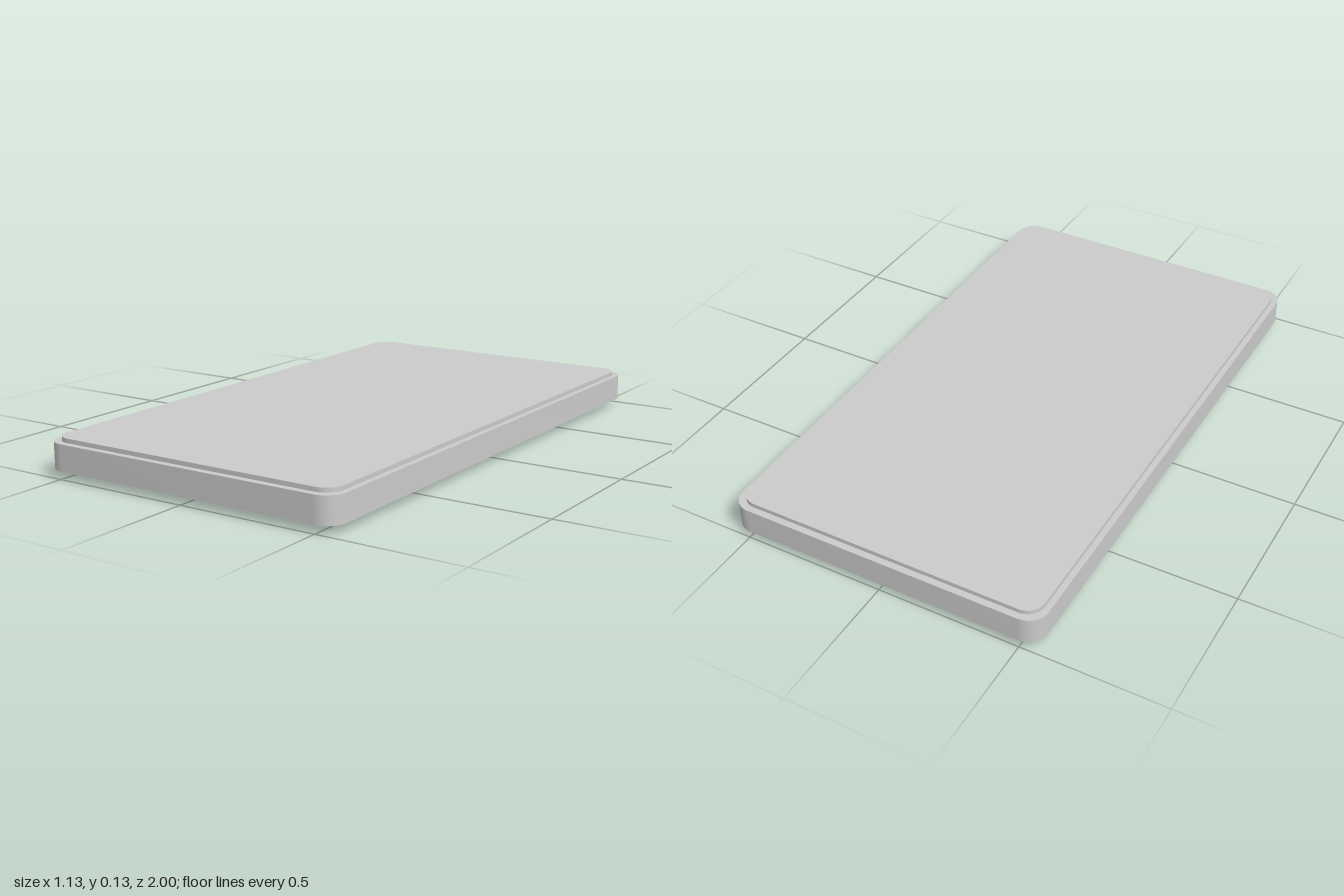
import * as THREE from 'three';
import { toCreasedNormals } from 'three/addons/utils/BufferGeometryUtils.js';

const material = new THREE.MeshStandardMaterial({ color: 0xcccccc });

// Flat slab with rounded vertical corners, its underside at height y
function roundedSlab(name, width, depth, radius, y, height, x = 0, z = 0) {
  const cx = width / 2 - radius, cy = depth / 2 - radius;
  const outline = new THREE.Shape();
  [[cx, cy], [-cx, cy], [-cx, -cy], [cx, -cy]].forEach(([px, py], i) => {
    outline.absarc(px, py, radius, i * Math.PI / 2, (i + 1) * Math.PI / 2, false);
  });
  const slab = new THREE.ExtrudeGeometry(outline, { depth: height, bevelEnabled: false, curveSegments: 10 });
  slab.rotateX(-Math.PI / 2);
  const mesh = new THREE.Mesh(toCreasedNormals(slab, 0.6), material);
  mesh.name = name;
  mesh.position.set(x, y, z);
  return mesh;
}

export function createModel() {
  const phone = new THREE.Group();
  phone.name = 'phone';
  phone.add(
    roundedSlab('body', 1.13, 2, 0.07, 0.027, 0.091),
    // Raised glass on top
    roundedSlab('screen', 1.09, 1.954, 0.06, 0.118, 0.015),
    // Camera block under one corner
    roundedSlab('cameraBump', 0.302, 0.302, 0.01, 0, 0.027, 0.283, -0.738),
  );
  return phone;
}
